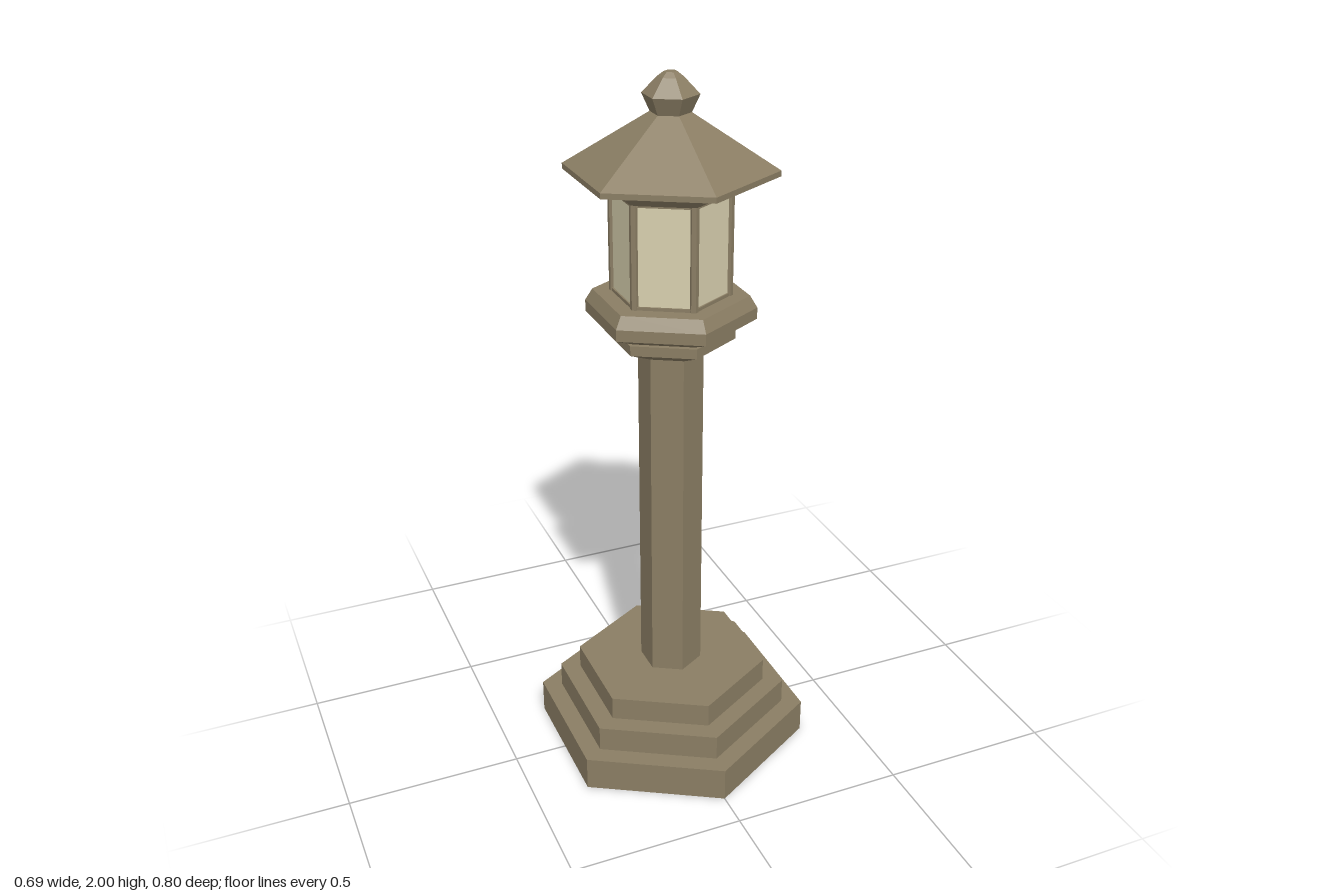
import * as THREE from 'three';

const stone = new THREE.MeshStandardMaterial({ color: 0x8b7e64, flatShading: true });
const glass = new THREE.MeshStandardMaterial({ color: 0xd9d1b0, flatShading: true });

// Six-sided solid from [radius, height] pairs, bottom to top, corners on the z axis
function hexSolid(name, profile, material = stone) {
  const first = profile[0], last = profile[profile.length - 1];
  const points = [[0, first[1]], ...profile, [0, last[1]]].map(([r, y]) => new THREE.Vector2(r, y));
  const mesh = new THREE.Mesh(new THREE.LatheGeometry(points, 6), material);
  mesh.name = name;
  return mesh;
}

export function createModel() {
  const model = new THREE.Group();
  model.name = 'stoneLantern';

  // Stepped plinth
  const plinth = new THREE.Group();
  plinth.name = 'plinth';
  [[0.4, 0, 0.1], [0.34, 0.1, 0.175], [0.28, 0.175, 0.245]].forEach(([r, y0, y1], i) => {
    plinth.add(hexSolid(`step${i + 1}`, [[r, y0], [r, y1]]));
  });
  model.add(plinth);

  // Shaft and the moulded platform above it
  model.add(hexSolid('shaft', [[0.09, 0.24], [0.09, 1.26]]));
  model.add(hexSolid('collar', [[0.09, 1.25], [0.175, 1.29], [0.175, 1.318]]));
  model.add(hexSolid('platform', [[0.16, 1.318], [0.232, 1.35], [0.232, 1.382], [0.212, 1.415]]));

  // Light chamber: glazed core, corner posts and thin rails
  const chamber = new THREE.Group();
  chamber.name = 'lightChamber';
  chamber.add(hexSolid('glassPanes', [[0.158, 1.41], [0.158, 1.7]], glass));
  for (let i = 0; i < 6; i++) {
    const a = (i * Math.PI) / 3;
    const post = new THREE.Mesh(new THREE.CylinderGeometry(0.012, 0.012, 0.29, 6), stone);
    post.name = `cornerPost${i + 1}`;
    post.position.set(Math.sin(a) * 0.154, 1.555, Math.cos(a) * 0.154);
    post.rotation.y = a;
    chamber.add(post);
  }
  chamber.add(hexSolid('bottomRail', [[0.163, 1.41], [0.163, 1.424]]));
  chamber.add(hexSolid('topRail', [[0.163, 1.69], [0.163, 1.705]]));
  model.add(chamber);

  // Flared cornice, roof and finial
  model.add(hexSolid('cornice', [[0.165, 1.695], [0.203, 1.735], [0.203, 1.745]]));
  model.add(hexSolid('roof', [[0.283, 1.742], [0.283, 1.757], [0.052, 1.9]]));
  model.add(hexSolid('finial', [[0.052, 1.895], [0.075, 1.945], [0.033, 1.988], [0.017, 2]]));

  return model;
}
